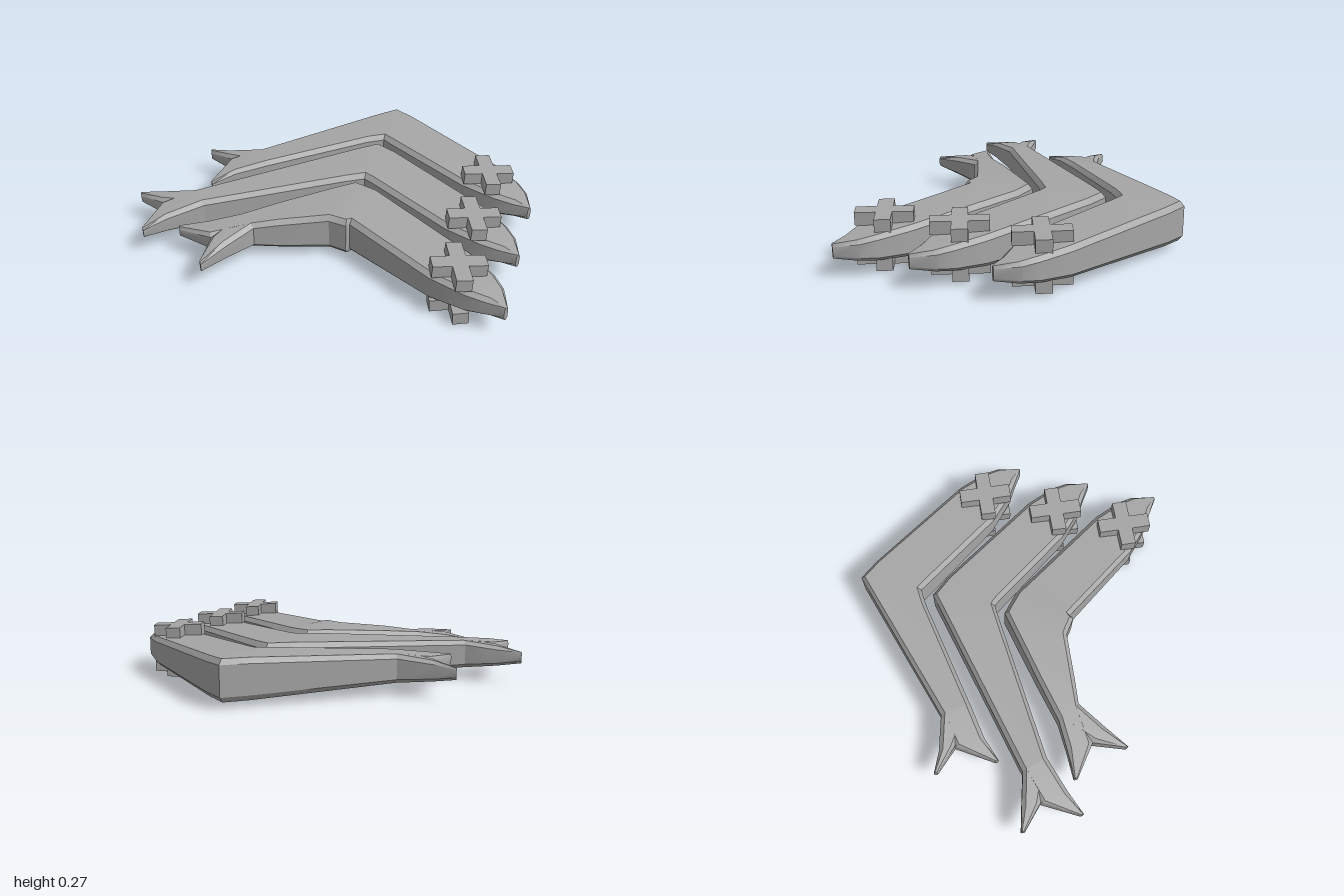
import * as THREE from 'three';
import { toCreasedNormals } from 'three/addons/utils/BufferGeometryUtils.js';

const MID = 0.137; // height of the plane on which the fish lie

// Lofts bevelled slabs between stations [outerX, outerZ, innerX, innerZ, halfThickness]
function slab(stations) {
  const pos = [], idx = [], n = 8;
  for (const [ox, oz, ix, iz, h] of stations) {
    const len = Math.hypot(ix - ox, iz - oz);
    const t = Math.min(0.022 / len, 0.3);
    const e = Math.max(h * 0.82 - 0.008, 0.012);
    const ring = [[0, -e], [0, e], [t, h], [1 - t, h], [1, e], [1, -e], [1 - t, -h], [t, -h]];
    for (const [k, y] of ring) pos.push(ox + (ix - ox) * k, MID + y, oz + (iz - oz) * k);
  }
  const last = (stations.length - 1) * n;
  for (let s = 0; s < last; s += n) {
    for (let j = 0; j < n; j++) {
      const k = (j + 1) % n;
      idx.push(s + j, s + n + j, s + n + k, s + j, s + n + k, s + k);
    }
  }
  for (let j = 1; j < n - 1; j++) idx.push(0, j, j + 1, last, last + j + 1, last + j);
  const geo = new THREE.BufferGeometry();
  geo.setAttribute('position', new THREE.Float32BufferAttribute(pos, 3));
  geo.setIndex(idx);
  return toCreasedNormals(geo, 0.45);
}

// Head stations, nose first, shared by every fish
const HEAD = [
  [0.99, -0.01, 0.975, 0, 0.035],
  [0.965, -0.13, 0.9, -0.02, 0.05],
  [0.92, -0.2, 0.8, -0.04, 0.062],
  [0.81, -0.315, 0.63, -0.11, 0.075],
  [0.3, -0.695, 0.21, -0.402, 0.1],
];

// Head offset, bent body stations (the last is the tail root) and fin points
const FISH = [
  {
    name: 'backFish', offset: [0, 0],
    body: [[0.2, -0.755, 0.17, -0.43, 0.103], [0.1, -0.678, 0.085, -0.39, 0.102], [-0.48, -0.23, -0.41, -0.09, 0.072]],
    upper: [-0.66, -0.215], notch: [-0.625, -0.14], lower: [-0.565, 0], tips: [[-0.77, -0.225], [-0.675, 0.085]],
  },
  {
    name: 'middleFish', offset: [-0.045, 0.387],
    body: [[0.15, -0.365, 0.13, -0.035, 0.103], [0.05, -0.298, 0.03, 0.01, 0.102], [-0.715, 0.21, -0.63, 0.32, 0.072]],
    upper: [-0.88, 0.224], notch: [-0.85, 0.315], lower: [-0.785, 0.445], tips: [[-1, 0.235], [-0.885, 0.53]],
  },
  {
    name: 'frontFish', offset: [-0.085, 0.76],
    body: [[0.095, 0.02, 0.11, 0.378, 0.103], [0, 0.08, 0.02, 0.353, 0.1],
      [-0.245, 0.235, -0.22, 0.42, 0.085], [-0.435, 0.36, -0.335, 0.45, 0.07]],
    upper: [-0.57, 0.415], notch: [-0.522, 0.54], lower: [-0.43, 0.588], tips: [[-0.71, 0.465], [-0.525, 0.72]],
  },
];

export function createModel() {
  const model = new THREE.Group();
  const gray = new THREE.MeshStandardMaterial({ color: 0xa6a6a6 });
  gray.name = 'plain gray';
  const add = (group, name, geo) => {
    const mesh = new THREE.Mesh(geo, gray);
    mesh.name = name;
    group.add(mesh);
    return mesh;
  };

  for (const f of FISH) {
    const fish = new THREE.Group();
    fish.name = f.name;
    const [dx, dz] = f.offset;
    const head = HEAD.map(([ox, oz, ix, iz, h]) => [ox + dx, oz + dz, ix + dx, iz + dz, h]);
    add(fish, 'body', slab([...head, ...f.body]));

    // Forked tail: both lobes grow from the tail root
    const root = f.body[f.body.length - 1];
    const [[ax, az], [bx, bz]] = f.tips;
    add(fish, 'upperTailFin', slab([root, [...f.upper, ...f.notch, 0.052], [ax, az, ax + 0.005, az + 0.02, 0.028]]));
    add(fish, 'lowerTailFin', slab([root, [...f.notch, ...f.lower, 0.052], [bx, bz - 0.015, bx + 0.01, bz, 0.028]]));

    // Crossed-bar eyes on both flat sides
    for (const side of [1, -1]) {
      const eye = new THREE.Group();
      eye.name = side > 0 ? 'topEye' : 'bottomEye';
      add(eye, 'longBar', new THREE.BoxGeometry(0.075, 0.064, 0.27));
      for (const s of [-1, 1]) {
        add(eye, 'shortBar', new THREE.BoxGeometry(0.09, 0.064, 0.075)).position.x = s * 0.0825;
      }
      eye.position.set(0.753 + dx, MID + side * 0.098, -0.168 + dz);
      eye.rotation.set(0, 0.28, -0.04 * side);
      fish.add(eye);
    }
    model.add(fish);
  }
  return model;
}
